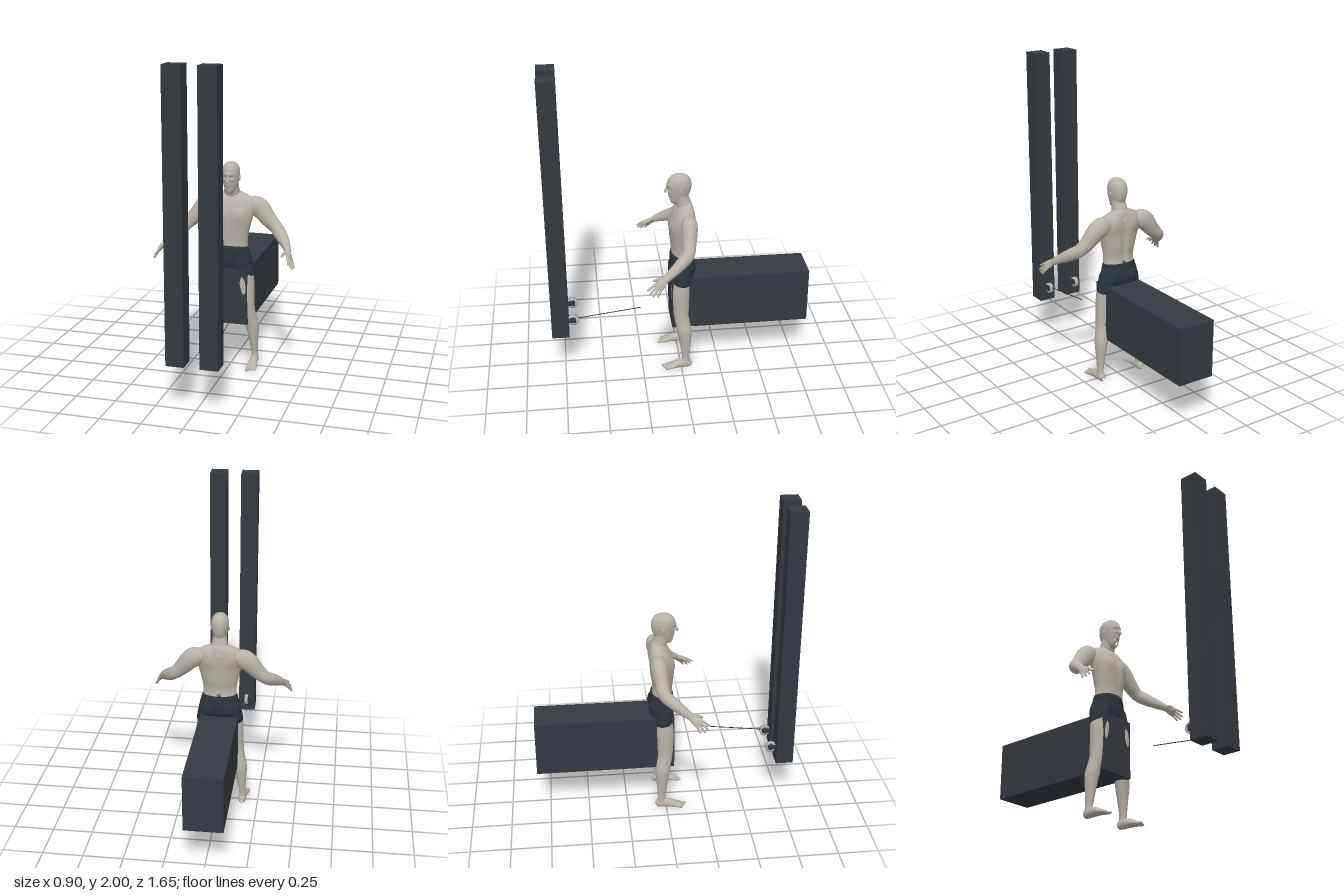
import * as THREE from 'three';

const V = (x, y, z) => new THREE.Vector3(x, y, z);
const X = V(1, 0, 0), Y = V(0, 1, 0), Z = V(0, 0, 1);

const paint = (name, color) => {
  const m = new THREE.MeshStandardMaterial({ color });
  m.name = name;
  return m;
};

// Smooth skin through elliptical sections [x, y, z, a, b]; b is measured towards ref.
function loft(sections, ref, { sides = 24, steps = 5, side = 1, sculpt } = {}) {
  const path = new THREE.CatmullRomCurve3(sections.map(s => V(s[0] * side, s[1], s[2])), false, 'catmullrom');
  const size = new THREE.CatmullRomCurve3(sections.map(s => V(s[3], s[4], 0)), false, 'catmullrom');
  const n = (sections.length - 1) * steps, pos = [], index = [];
  for (let i = 0; i <= n; i++) {
    const c = path.getPoint(i / n), r = size.getPoint(i / n), t = path.getTangent(i / n);
    const u = ref.clone().cross(t).normalize(), v = t.clone().cross(u);
    for (let j = 0; j < sides; j++) {
      const a = (j / sides) * Math.PI * 2;
      const p = c.clone()
        .addScaledVector(u, Math.max(r.x, 0.0005) * Math.cos(a))
        .addScaledVector(v, Math.max(r.y, 0.0005) * Math.sin(a));
      if (sculpt) sculpt(p);
      pos.push(p.x, p.y, p.z);
      if (i < n) {
        const k = i * sides + j, l = i * sides + (j + 1) % sides;
        index.push(k, l, k + sides, l, l + sides, k + sides);
      }
    }
  }
  const g = new THREE.BufferGeometry();
  g.setAttribute('position', new THREE.Float32BufferAttribute(pos, 3));
  g.setIndex(index);
  g.computeVertexNormals();
  return g;
}

const bump = (d, w) => Math.exp(-(d * d) / (w * w));

// Chest muscles, breastbone line and spine groove
function sculptTorso(p) {
  const ax = Math.abs(p.x);
  if (p.z > 0) {
    p.z += 0.012 * bump(ax - 0.06, 0.04) * bump(p.y - 1.0, 0.045);
    p.z -= 0.005 * bump(ax, 0.012) * bump(p.y - 0.93, 0.12);
  } else {
    p.z -= 0.012 * bump(ax - 0.075, 0.04) * bump(p.y - 1.05, 0.06);
    p.z += 0.012 * bump(ax, 0.018) * bump(p.y - 0.93, 0.15);
  }
}

// Eye sockets, brow, lips and chin
function sculptHead(p) {
  if (p.z < 0.03) return;
  const ax = Math.abs(p.x);
  p.z -= 0.009 * bump(ax - 0.021, 0.012) * bump(p.y - 1.238, 0.01);
  p.z += 0.004 * bump(ax, 0.035) * bump(p.y - 1.258, 0.009);
  p.z += 0.005 * bump(ax, 0.017) * bump(p.y - 1.188, 0.009);
  p.z -= 0.004 * bump(ax, 0.02) * bump(p.y - 1.172, 0.006);
}

export function createModel() {
  const model = new THREE.Group();
  model.name = 'cableTrainingFigure';
  const skin = paint('skin', 0xb8b2a7);
  const cloth = paint('shortsCloth', 0x2b343b);
  const dark = paint('darkFrame', 0x343a40);
  const metal = paint('paleMetal', 0xb9b8b4);
  const wire = paint('cableSteel', 0x2a2c2f);

  const add = (name, geometry, material, parent = model) => {
    const m = new THREE.Mesh(geometry, material);
    m.name = name;
    parent.add(m);
    return m;
  };
  const box = (name, w, h, d, x, y, z, material) =>
    add(name, new THREE.BoxGeometry(w, h, d), material).position.set(x, y, z);
  const ball = (name, x, y, z, rx, ry, rz, material) => {
    const m = add(name, new THREE.SphereGeometry(1, 20, 14), material);
    m.position.set(x, y, z);
    m.scale.set(rx, ry, rz);
    return m;
  };

  // Bench block and the two uprights
  box('benchBlock', 0.24, 0.36, 0.88, 0, 0.47, -0.385, dark);
  for (const x of [-0.103, 0.1]) {
    box('upright', 0.11, 1.71, 0.11, x, 1.145, 0.77, dark);
    box('pulleyBracket', 0.03, 0.034, 0.045, x, 0.387, 0.693, dark);
    const ring = [[0.021, -0.01], [0.036, -0.01], [0.032, 0], [0.036, 0.01], [0.021, 0.01], [0.021, -0.01]];
    const wheel = add('pulleyWheel', new THREE.LatheGeometry(ring.map(q => new THREE.Vector2(...q)), 28), metal);
    wheel.rotation.z = Math.PI / 2;
    wheel.position.set(x, 0.387, 0.686);
  }
  add('cable', new THREE.TubeGeometry(new THREE.LineCurve3(V(0.1, 0.392, 0.69), V(0.1, 0.447, 0.255)), 1, 0.0025, 6), wire);

  // Torso, neck and head
  add('torso', loft([
    [0, 0.76, -0.015, 0.108, 0.068], [0, 0.83, -0.012, 0.105, 0.064], [0, 0.9, -0.013, 0.117, 0.073],
    [0, 0.98, -0.015, 0.138, 0.075], [0, 1.04, -0.025, 0.15, 0.07], [0, 1.09, -0.038, 0.135, 0.055],
    [0, 1.125, -0.045, 0.07, 0.04], [0, 1.14, -0.045, 0.02, 0.02]], Z, { sides: 48, steps: 6, sculpt: sculptTorso }), skin);
  add('neck', loft([
    [0, 1.06, -0.045, 0.075, 0.05], [0, 1.11, -0.035, 0.056, 0.046],
    [0, 1.16, -0.018, 0.046, 0.046], [0, 1.21, -0.01, 0.042, 0.045]], Z), skin);
  add('head', loft([
    [0, 1.146, 0.052, 0.006, 0.01], [0, 1.15, 0.045, 0.022, 0.03], [0, 1.165, 0.027, 0.035, 0.05],
    [0, 1.19, 0.011, 0.045, 0.065], [0, 1.22, 0.002, 0.051, 0.074], [0, 1.255, -0.003, 0.055, 0.076],
    [0, 1.29, -0.004, 0.05, 0.068], [0, 1.316, -0.004, 0.031, 0.044], [0, 1.328, -0.004, 0.002, 0.002]],
    Z, { sides: 48, steps: 7, sculpt: sculptHead }), skin);
  add('nose', loft([
    [0, 1.252, 0.07, 0.005, 0.004], [0, 1.23, 0.076, 0.007, 0.007],
    [0, 1.212, 0.081, 0.011, 0.01], [0, 1.205, 0.077, 0.002, 0.002]], Z, { sides: 12 }), skin);

  // Pelvis of the shorts
  add('shortsPelvis', loft([
    [0, 0.62, -0.015, 0.03, 0.04], [0, 0.64, -0.017, 0.09, 0.06], [0, 0.7, -0.02, 0.127, 0.075],
    [0, 0.75, -0.017, 0.119, 0.073], [0, 0.785, -0.014, 0.109, 0.07], [0, 0.788, -0.014, 0.1, 0.06]], Z,
    { sides: 36 }), cloth);

  for (const side of [1, -1]) {
    const tag = side > 0 ? 'left' : 'right';
    const limb = (name, pts, ref, material, sides = 20) =>
      add(tag + name, loft(pts, ref, { side, sides }), material);

    // Ear
    ball(tag + 'Ear', side * 0.054, 1.228, -0.006, 0.006, 0.019, 0.012, skin).rotation.x = -0.2;

    // Shorts leg and seat
    limb('ShortsLeg', [
      [0.083, 0.596, -0.006, 0.055, 0.05], [0.083, 0.598, -0.006, 0.066, 0.061],
      [0.076, 0.65, -0.013, 0.065, 0.068], [0.066, 0.71, -0.02, 0.06, 0.068], [0.06, 0.76, -0.02, 0.03, 0.04]], Z, cloth);
    ball(tag + 'Seat', side * 0.053, 0.7, -0.045, 0.056, 0.065, 0.057, cloth);

    // Leg from ankle to thigh
    limb('Leg', [
      [0.152, 0.035, -0.03, 0.022, 0.03], [0.15, 0.085, -0.03, 0.021, 0.025], [0.145, 0.16, -0.027, 0.028, 0.033],
      [0.137, 0.26, -0.023, 0.041, 0.045], [0.126, 0.32, -0.013, 0.04, 0.046], [0.117, 0.375, -0.004, 0.039, 0.047],
      [0.104, 0.45, -0.002, 0.049, 0.054], [0.092, 0.54, -0.002, 0.06, 0.06], [0.083, 0.62, -0.006, 0.062, 0.06]], Z, skin, 28);

    // Foot and toes
    limb('Foot', [
      [0.15, 0.022, -0.068, 0.008, 0.008], [0.15, 0.025, -0.058, 0.02, 0.024], [0.15, 0.033, -0.03, 0.025, 0.032],
      [0.153, 0.03, 0.02, 0.027, 0.028], [0.156, 0.02, 0.065, 0.033, 0.018], [0.158, 0.013, 0.098, 0.032, 0.012],
      [0.158, 0.012, 0.106, 0.004, 0.004]], Y, skin);
    for (let i = 0; i < 5; i++) {
      const x = 0.135 + i * 0.0125, tip = 0.13 - i * 0.006, r = i ? 0.006 : 0.009;
      limb('Toe', [[x, 0.013, 0.08, r, r], [x, 0.011, tip - 0.01, r, r], [x, 0.009, tip, 0.001, 0.001]], Y, skin, 10);
    }

    // Arm from shoulder to wrist
    limb('Arm', [
      [0.09, 1.06, -0.045, 0.03, 0.035], [0.14, 1.05, -0.047, 0.06, 0.05], [0.185, 1.022, -0.045, 0.061, 0.05],
      [0.235, 0.965, -0.037, 0.05, 0.044], [0.285, 0.918, -0.026, 0.041, 0.039], [0.318, 0.89, 0.008, 0.041, 0.038],
      [0.355, 0.857, 0.06, 0.034, 0.032], [0.388, 0.823, 0.115, 0.02, 0.024], [0.398, 0.81, 0.13, 0.014, 0.02]], Z, skin, 24);

    // Hand: palm, four fingers spread across it, thumb
    limb('Palm', [
      [0.386, 0.826, 0.112, 0.013, 0.018], [0.398, 0.808, 0.136, 0.014, 0.026],
      [0.413, 0.785, 0.166, 0.013, 0.032], [0.42, 0.773, 0.18, 0.006, 0.026]], Z, skin);
    const across = V(-0.39, 0.62, 0.68), along = V(0.365, -0.584, 0.73);
    for (let i = 0; i < 4; i++) {
      const k = i - 1.5, reach = [0.05, 0.068, 0.073, 0.064][i];
      const at = (spread, d, r) => {
        const p = V(0.412, 0.786, 0.165).addScaledVector(across, k * spread).addScaledVector(along, d);
        return [p.x, p.y - d * d * 2, p.z, r, r];
      };
      limb('Finger', [at(0.015, 0, 0.008), at(0.019, reach * 0.5, 0.0075),
        at(0.023, reach * 0.92, 0.006), at(0.023, reach, 0.001)], Z, skin, 10);
    }
    limb('Thumb', [
      [0.393, 0.818, 0.132, 0.011, 0.012], [0.379, 0.814, 0.158, 0.01, 0.01],
      [0.37, 0.801, 0.187, 0.008, 0.008], [0.368, 0.793, 0.2, 0.001, 0.001]], X, skin, 10);
  }
  return model;
}
